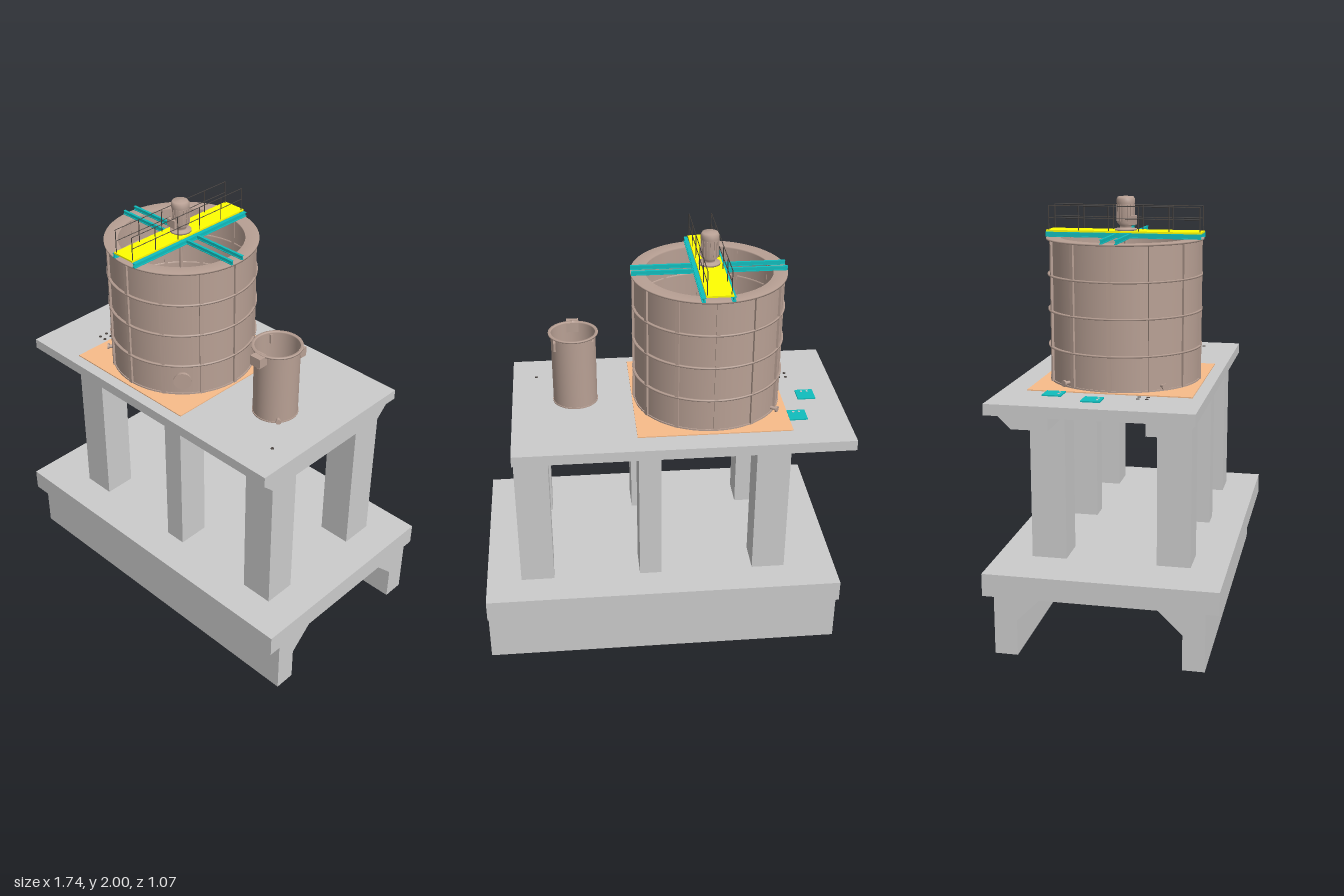
import * as THREE from 'three';

const mat = (color, side = THREE.FrontSide) => new THREE.MeshStandardMaterial({ color, side });
const concrete = mat(0xcccccc);
const steel = mat(0xb8a094, THREE.DoubleSide);
const teal = mat(0x10bdbd);
const yellow = mat(0xffff00);
const orange = mat(0xf8bc8a);
const dark = mat(0x4a4440);

export function createModel() {
  const model = new THREE.Group();

  const add = (name, geo, material, parent = model) => {
    const mesh = new THREE.Mesh(geo, material);
    mesh.name = name;
    parent.add(mesh);
    return mesh;
  };
  // box given by its extents on each axis
  const box = (name, material, [x0, x1], [y0, y1], [z0, z1], parent = model) => {
    const mesh = add(name, new THREE.BoxGeometry(x1 - x0, y1 - y0, z1 - z0), material, parent);
    mesh.position.set((x0 + x1) / 2, (y0 + y1) / 2, (z0 + z1) / 2);
    return mesh;
  };
  // [z, y] section swept along x
  const sweepX = (name, points, x0, x1) => {
    const shape = new THREE.Shape(points.map(([z, y]) => new THREE.Vector2(-z, y)));
    const geo = new THREE.ExtrudeGeometry(shape, { depth: x1 - x0, bevelEnabled: false });
    add(name, geo.rotateY(Math.PI / 2).translate(x0, 0, 0), concrete);
  };
  const lathe = (name, points, material, parent, segments = 64) =>
    add(name, new THREE.LatheGeometry(points.map(([r, y]) => new THREE.Vector2(r, y)), segments), material, parent);
  const cylinder = (name, r, y0, y1, material, parent, segments = 32) => {
    const mesh = add(name, new THREE.CylinderGeometry(r, r, y1 - y0, segments), material, parent);
    mesh.position.y = (y0 + y1) / 2;
    return mesh;
  };
  // horizontal stub pointing outwards at angle a (0 = +x, 90 degrees = +z)
  const stub = (name, a, y, r0, r1, radius, parent) => {
    const mesh = add(name, new THREE.CylinderGeometry(radius, radius, r1 - r0, 24).rotateZ(-Math.PI / 2), steel, parent);
    mesh.position.set(Math.cos(a) * (r0 + r1) / 2, y, Math.sin(a) * (r0 + r1) / 2);
    mesh.rotation.y = -a;
  };
  // thin bar between two points
  const bar = (name, a, b, r, material, parent) => {
    const p = new THREE.Vector3(...a), q = new THREE.Vector3(...b);
    const mesh = add(name, new THREE.CylinderGeometry(r, r, p.distanceTo(q), 6), material, parent);
    mesh.position.copy(p).add(q).multiplyScalar(0.5);
    mesh.quaternion.setFromUnitVectors(new THREE.Vector3(0, 1, 0), q.sub(p).normalize());
  };

  // Foundation: slab on two walls with haunches
  sweepX('foundation', [
    [-0.53, 0.375], [-0.53, 0.27], [-0.475, 0.27], [-0.475, 0], [-0.37, 0], [-0.37, 0.165], [-0.265, 0.27],
    [0.265, 0.27], [0.375, 0.165], [0.375, 0], [0.475, 0], [0.475, 0.27], [0.535, 0.27], [0.535, 0.375],
  ], -0.845, 0.867);

  // Columns
  for (const x of [[-0.595, -0.435], [0.015, 0.12], [0.54, 0.7]])
    for (const z of [[0.215, 0.37], [-0.367, -0.205]]) box('column', concrete, x, [0.375, 1.056], z);

  // Deck with chamfered edge beams
  box('deckSlab', concrete, [-0.87, 0.7], [1.11, 1.16], [-0.49, 0.425]);
  sweepX('frontEdgeBeam', [[0.215, 1.11], [0.215, 1.055], [0.367, 1.055], [0.425, 1.11]], -0.87, 0.7);
  sweepX('backEdgeBeam', [[-0.425, 1.11], [-0.367, 1.055], [-0.205, 1.055], [-0.205, 1.11]], -0.87, 0.7);

  // Cross beams below the deck, with an octagonal and two rectangular recesses
  const rect = (Type, x0, x1, z0, z1) => new Type([[x0, z0], [x1, z0], [x1, z1], [x0, z1]].map(p => new THREE.Vector2(...p)));
  const soffit = rect(THREE.Shape, -0.595, 0.7, -0.205, 0.215);
  const octagon = Array.from({ length: 8 }, (_, i) => {
    const a = (i + 0.5) * Math.PI / 4;
    return new THREE.Vector2(-0.235 + 0.205 * Math.cos(a), 0.205 * Math.sin(a));
  });
  soffit.holes.push(new THREE.Path(octagon),
    rect(THREE.Path, 0.12, 0.31, -0.17, 0.18), rect(THREE.Path, 0.36, 0.54, -0.17, 0.18));
  add('deckCrossBeams', new THREE.ExtrudeGeometry(soffit, { depth: 0.055, bevelEnabled: false })
    .rotateX(Math.PI / 2).translate(0, 1.11, 0), concrete);

  // Deck fittings
  box('tankPad', orange, [-0.595, 0.125], [1.16, 1.165], [-0.375, 0.37]);
  for (const [x, z] of [[-0.638, -0.24], [-0.714, -0.048]]) {
    box('floorHatch', teal, [x - 0.043, x + 0.043], [1.16, 1.166], [z - 0.043, z + 0.043]);
    for (const s of [-1, 1])
      cylinder('hatchBolt', 0.006, 1.166, 1.168, concrete, model, 10).position.add(new THREE.Vector3(x + s * 0.014, 0, z + 0.025));
  }
  for (const [x, z] of [[-0.655, 0.14], [-0.62, 0.14], [-0.655, 0.18], [-0.62, 0.18], [0.585, 0.25]])
    cylinder('deckSocket', 0.008, 1.16, 1.162, dark, model, 12).position.add(new THREE.Vector3(x, 0, z));

  // Large tank: open shell, wide top flange, hoops and vertical ribs
  const tank = new THREE.Group();
  tank.name = 'largeTank';
  tank.position.set(-0.235, 0, -0.003);
  model.add(tank);
  add('tankShell', new THREE.CylinderGeometry(0.345, 0.345, 0.65, 64, 1, true).translate(0, 1.49, 0), steel, tank);
  cylinder('tankFloor', 0.35, 1.165, 1.172, steel, tank, 64);
  const ring = (name, r0, r1, y0, y1) =>
    lathe(name, [[r0, y0], [r1, y0], [r1, y1], [r0, y1], [r0, y0]], steel, tank).geometry.computeVertexNormals();
  ring('topFlange', 0.295, 0.36, 1.807, 1.815);
  for (const y of [1.325, 1.49, 1.65]) ring('hoop', 0.344, 0.356, y - 0.004, y + 0.004);
  for (let i = 0; i < 12; i++) {
    const a = i * Math.PI / 6;
    const rib = add('verticalRib', new THREE.BoxGeometry(0.012, 0.64, 0.018), steel, tank);
    rib.position.set(0.349 * Math.cos(a), 1.487, 0.349 * Math.sin(a));
    rib.rotation.y = -a;
  }
  stub('manhole', Math.PI / 4, 1.252, 0.33, 0.365, 0.036, tank);
  stub('manholeCover', Math.PI / 4, 1.252, 0.362, 0.37, 0.043, tank);
  for (const a of [2.45, 3.75]) {
    stub('drainPipe', a, 1.188, 0.335, 0.375, 0.008, tank);
    stub('drainFlange', a, 1.188, 0.372, 0.38, 0.015, tank);
  }

  // Bridge: I-section girders across the tank, walkway plate and railings
  const bridge = new THREE.Group();
  bridge.name = 'bridge';
  model.add(bridge);
  for (const z of [-0.036, 0.03]) {
    box('crossGirderWeb', teal, [-0.593, 0.123], [1.816, 1.834], [z - 0.002, z + 0.002], bridge);
    for (const y of [1.815, 1.832]) box('crossGirderFlange', teal, [-0.593, 0.123], [y, y + 0.003], [z - 0.006, z + 0.006], bridge);
  }
  for (const x of [-0.3, -0.168]) {
    box('bridgeGirderWeb', teal, [x - 0.003, x + 0.003], [1.816, 1.836], [-0.36, 0.355], bridge);
    for (const y of [1.815, 1.834]) box('bridgeGirderFlange', teal, [x - 0.009, x + 0.009], [y, y + 0.003], [-0.36, 0.355], bridge);
  }
  box('walkway', yellow, [-0.298, -0.178], [1.837, 1.845], [-0.36, 0.355], bridge);
  for (const x of [-0.29, -0.183]) {
    for (let i = 0; i < 6; i++) {
      const z = 0.347 - i * 0.139;
      bar('railPost', [x, 1.84, z], [x, 1.955, z], 0.0022, dark, bridge);
    }
    for (const y of [1.9, 1.955]) bar('handrail', [x, y, -0.348], [x, y, 0.347], 0.0018, dark, bridge);
  }

  // Mixer drive with shaft
  const mixer = new THREE.Group();
  mixer.name = 'mixerDrive';
  mixer.position.set(-0.237, 0, 0);
  model.add(mixer);
  lathe('motorBody', [[0, 1.845], [0.05, 1.845], [0.05, 1.853], [0.026, 1.855], [0.026, 1.865], [0.04, 1.88],
    [0.04, 1.965], [0.042, 1.967], [0.042, 1.985], [0.036, 1.996], [0, 2]], steel, mixer, 32);
  for (let i = 0; i < 16; i++) {
    const fin = add('coolingFin', new THREE.BoxGeometry(0.006, 0.075, 0.003), steel, mixer);
    const a = i * Math.PI / 8;
    fin.position.set(0.04 * Math.cos(a), 1.925, 0.04 * Math.sin(a));
    fin.rotation.y = -a;
  }
  box('terminalBox', steel, [-0.036, 0.012], [1.872, 1.912], [0.02, 0.05], mixer);
  cylinder('mixerShaft', 0.008, 1.25, 1.85, steel, mixer, 16);

  // Small tank: open vessel with rim, outlet box, brackets and drain
  const vessel = new THREE.Group();
  vessel.name = 'smallTank';
  vessel.position.set(0.396, 0, 0.022);
  model.add(vessel);
  add('vesselShell', new THREE.CylinderGeometry(0.105, 0.105, 0.353, 48, 1, true).translate(0, 1.3365, 0), steel, vessel);
  cylinder('vesselFloor', 0.108, 1.16, 1.166, steel, vessel, 48);
  lathe('vesselRim', [[0.104, 1.511], [0.117, 1.511], [0.117, 1.518], [0.104, 1.518], [0.104, 1.511]], steel, vessel, 48)
    .geometry.computeVertexNormals();
  box('outletBox', steel, [-0.029, 0.029], [1.468, 1.515], [0.095, 0.147], vessel);
  const spout = cylinder('outletSpout', 0.012, 1.452, 1.47, steel, vessel, 16);
  spout.position.z = 0.122;
  for (const s of [-1, 1]) box('liftingLug', steel, [s * 0.088 - 0.005, s * 0.088 + 0.005], [1.46, 1.505], [-0.09, -0.05], vessel);
  stub('vesselDrain', 0.72, 1.18, 0.1, 0.125, 0.008, vessel);
  stub('vesselDrainFlange', 0.72, 1.18, 0.122, 0.13, 0.013, vessel);

  return model;
}
